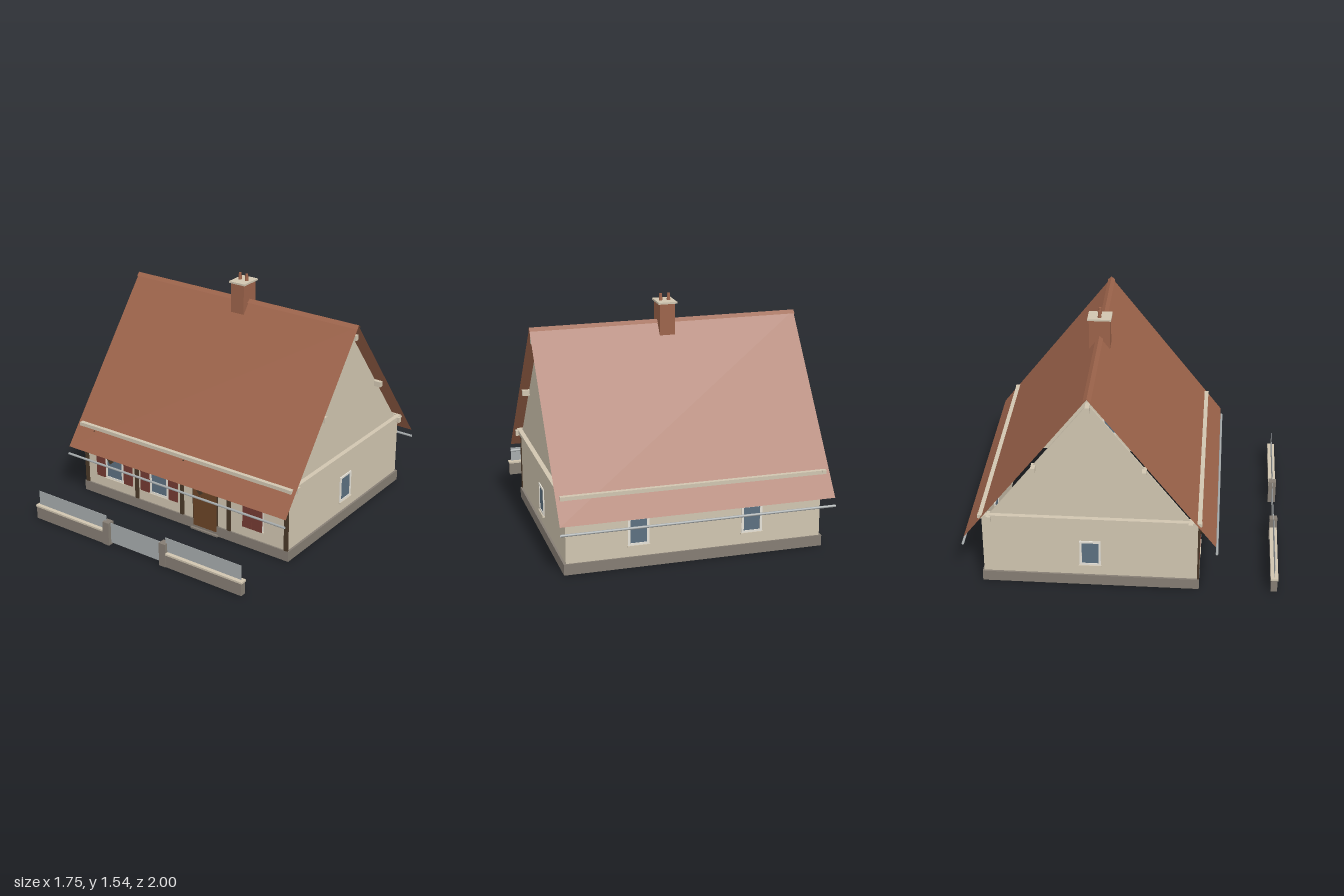
import * as THREE from 'three';

const mat = (name, color, side = THREE.FrontSide) => {
  const m = new THREE.MeshStandardMaterial({ color, side });
  m.name = name;
  return m;
};

export function createModel() {
  const M = {
    plaster: mat('plaster', 0xd0c5b0),
    stone: mat('stone', 0x857d73),
    tile: mat('roof tile', 0x9c634a, THREE.DoubleSide),
    timber: mat('dark timber', 0x493828),
    door: mat('door wood', 0x6b4426),
    shutter: mat('shutter red', 0x743a32),
    glass: mat('window glass', 0x5c7080),
    frame: mat('window frame', 0xe6e2d8),
    metal: mat('metal', 0xa6abac, THREE.DoubleSide),
  };
  const model = new THREE.Group();
  model.name = 'cottage';

  const add = (parent, name, geo, material, x = 0, y = 0, z = 0) => {
    const mesh = new THREE.Mesh(geo, material);
    mesh.name = name;
    mesh.position.set(x, y, z);
    parent.add(mesh);
    return mesh;
  };
  // box given by its extents
  const box = (parent, name, material, x0, x1, y0, y1, z0, z1) =>
    add(parent, name, new THREE.BoxGeometry(x1 - x0, y1 - y0, z1 - z0), material,
      (x0 + x1) / 2, (y0 + y1) / 2, (z0 + z1) / 2);

  const house = new THREE.Group();
  house.name = 'house';
  house.position.z = -0.19;
  model.add(house);

  const W = 0.82, D = 0.68, T = 0.012; // half width, half depth, wall thickness
  const EAVES = 0.485, RIDGE = 1.37, RUN = 0.79, EDGE = 0.355;

  // gable walls, cornices, purlin ends and plinths
  const gable = new THREE.Shape([
    [-D, 0], [D, 0], [D, EAVES], [0.642, EAVES], [0, 1.31], [-0.642, EAVES], [-D, EAVES],
  ].map(([x, y]) => new THREE.Vector2(x, y)));
  for (const s of [-1, 1]) {
    const geo = new THREE.ExtrudeGeometry(gable, { depth: T, bevelEnabled: false });
    geo.translate(0, 0, -T / 2).rotateY(Math.PI / 2);
    add(house, 'gableWall', geo, M.plaster, s * (W - T / 2));
    add(house, 'gableCornice', new THREE.BoxGeometry(0.03, 0.024, 1.4), M.plaster, s * (W + 0.015), 0.496);
    add(house, 'gablePlinth', new THREE.BoxGeometry(0.014, 0.07, 1.38), M.stone, s * (W + 0.007), 0.035);
    for (const [z, y] of [[0, 1.29], [0.34, 0.855], [-0.34, 0.855], [0.63, 0.488], [-0.63, 0.488]])
      add(house, 'purlinEnd', new THREE.BoxGeometry(0.07, 0.036, 0.028), M.plaster, s * (W + 0.012), y, z);
  }

  // long walls, eaves cornices and plinths
  for (const s of [-1, 1]) {
    add(house, 'longWall', new THREE.BoxGeometry(2 * W - 2 * T, EAVES, T), M.plaster, 0, EAVES / 2, s * (D - T / 2));
    add(house, 'eavesCornice', new THREE.BoxGeometry(1.7, 0.024, 0.04), M.plaster, 0, 0.496, s * (D - 0.002));
    add(house, 'longPlinth', new THREE.BoxGeometry(1.668, 0.07, 0.01), M.stone, 0, 0.035, s * (D + 0.005));
  }

  // roof slopes, ridge cap and gutters
  const slope = (name, halfX, yTop, yLow, run) => {
    const len = Math.hypot(run, yTop - yLow);
    for (const s of [-1, 1]) {
      const geo = new THREE.PlaneGeometry(2 * halfX, len).rotateX(-Math.atan2(run, yTop - yLow));
      if (s < 0) geo.rotateY(Math.PI);
      add(house, name, geo, M.tile, 0, (yTop + yLow) / 2, s * run / 2);
    }
  };
  slope('roofSlope', 0.875, RIDGE, EDGE, RUN);
  slope('ridgeCap', 0.876, 1.377, 1.356, 0.024);
  for (const s of [-1, 1]) {
    const geo = new THREE.CylinderGeometry(0.008, 0.008, 1.75, 10, 1, true).rotateZ(Math.PI / 2);
    add(house, 'gutter', geo, M.metal, 0, 0.305, s * 0.797);
  }

  // chimney
  box(house, 'chimneyStack', M.tile, -0.05, 0.05, 1.2, 1.486, -0.067, 0.067);
  box(house, 'chimneyCap', M.plaster, -0.061, 0.061, 1.485, 1.497, -0.076, 0.076);
  for (const s of [-1, 1])
    add(house, 'chimneyPot', new THREE.CylinderGeometry(0.009, 0.012, 0.046, 12), M.tile, s * 0.026, 1.519, 0);

  // windows: frame ring, pane and sill, facing local +z
  const makeWindow = (x, z, turn, w, y0, y1) => {
    const g = new THREE.Group();
    g.name = 'window';
    g.position.set(x, 0, z);
    g.rotation.y = turn;
    house.add(g);
    const rect = (Type, hw, a, b) => new Type(
      [[-hw, a], [hw, a], [hw, b], [-hw, b]].map(([px, py]) => new THREE.Vector2(px, py)));
    const ring = rect(THREE.Shape, w / 2, y0, y1);
    ring.holes.push(rect(THREE.Path, w / 2 - 0.014, y0 + 0.014, y1 - 0.014));
    add(g, 'windowFrame', new THREE.ExtrudeGeometry(ring, { depth: 0.026, bevelEnabled: false }), M.frame, 0, 0, -0.013);
    box(g, 'windowPane', M.glass, -w / 2 + 0.01, w / 2 - 0.01, y0 + 0.01, y1 - 0.01, -0.009, 0.009);
    box(g, 'windowSill', M.plaster, -w / 2 - 0.006, w / 2 + 0.006, y0 - 0.01, y0, -0.016, 0.02);
  };
  const wallZ = D - T / 2, wallX = W - T / 2;
  for (const s of [-1, 1]) {
    makeWindow(s * wallX, 0, s * Math.PI / 2, 0.134, 0.145, 0.325);
    makeWindow(s * 0.365, -wallZ, Math.PI, 0.134, 0.145, 0.325);
  }
  const frontWindows = [-0.57, -0.19, 0.563];
  for (const x of frontWindows) makeWindow(x, wallZ, 0, 0.152, 0.145, 0.36);

  // shutters, closed over the last window
  frontWindows.forEach((x, i) => {
    for (const s of [-1, 1]) {
      const cx = x + s * (i === 2 ? 0.037 : 0.117), z = i === 2 ? D + 0.014 : D + 0.005;
      add(house, 'shutter', new THREE.BoxGeometry(0.073, 0.215, 0.009), M.shutter, cx, 0.2525, z);
    }
  });

  // front timber frame
  for (const x of [-0.812, -0.378, 0, 0.375, 0.812])
    box(house, 'timberPost', M.timber, x - 0.014, x + 0.014, 0.07, 0.48, D - 0.004, D + 0.009);
  box(house, 'headBeam', M.timber, -0.82, 0.82, 0.45, 0.48, D - 0.004, D + 0.008);
  for (const x of [-0.662, 0.088]) {
    const brace = add(house, 'timberBrace', new THREE.BoxGeometry(0.034, 0.25, 0.01), M.timber, x, 0.37, D + 0.014);
    brace.rotation.z = 0.66;
  }

  // front door with transom light and step
  box(house, 'doorFrame', M.timber, 0.088, 0.288, 0.02, 0.375, D - 0.022, D + 0.006);
  box(house, 'doorLeaf', M.door, 0.098, 0.28, 0.03, 0.288, D - 0.026, D + 0.014);
  box(house, 'transomLight', M.glass, 0.108, 0.28, 0.298, 0.366, D - 0.026, D + 0.01);
  box(house, 'doorStep', M.stone, 0.08, 0.296, 0, 0.012, D, D + 0.024);

  // street fence: low walls, copings, panels, posts and gate
  const fence = new THREE.Group();
  fence.name = 'fence';
  fence.position.z = 0.975;
  model.add(fence);
  for (const s of [-1, 1]) {
    const span = (name, m, a, b, y0, y1, hz) =>
      box(fence, name, m, Math.min(s * a, s * b), Math.max(s * a, s * b), y0, y1, -hz, hz);
    span('fenceWall', M.stone, 0.25, 0.825, 0, 0.085, 0.02);
    span('fenceCoping', M.plaster, 0.25, 0.83, 0.085, 0.097, 0.024);
    span('fencePanel', M.metal, 0.238, 0.812, 0.1, 0.197, 0.0015);
    span('gatePost', M.stone, 0.203, 0.252, 0, 0.16, 0.025);
  }
  box(fence, 'gate', M.metal, -0.203, 0.203, 0.015, 0.155, -0.0015, 0.0015);

  return model;
}
